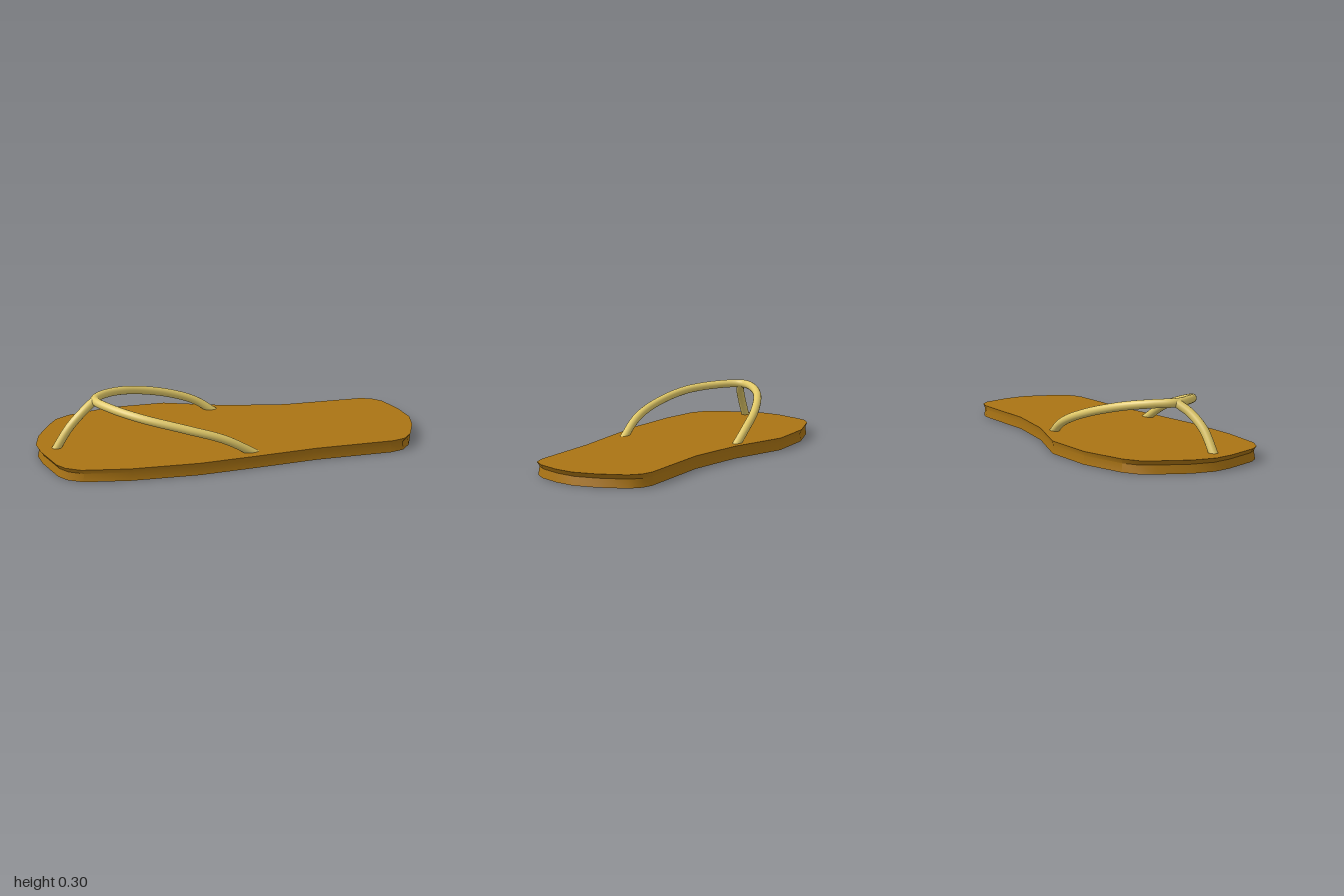
import * as THREE from 'three';
import { toCreasedNormals } from 'three/addons/utils/BufferGeometryUtils.js';

// Sole outline as [x, z], running from the toe along the back edge, round the heel and home
const OUTLINE = [
  [-1, 0.03], [-0.98, -0.09], [-0.915, -0.235], [-0.875, -0.305], [-0.8, -0.355],
  [-0.565, -0.425], [-0.27, -0.435], [0.06, -0.33], [0.385, -0.28], [0.82, -0.29],
  [0.88, -0.272], [0.93, -0.225], [0.98, -0.09], [1, 0.03], [0.98, 0.135],
  [0.93, 0.255], [0.88, 0.315], [0.81, 0.337], [0.395, 0.355], [0.06, 0.395],
  [-0.22, 0.425], [-0.565, 0.425], [-0.8, 0.395], [-0.875, 0.355], [-0.915, 0.305],
  [-0.98, 0.13],
];

// Sole layers as [height, outline scale]: the waist forms the groove round the edge
const LAYERS = [[0, 0.993], [0.042, 0.984], [0.065, 1]];

function soleGeometry() {
  const n = OUTLINE.length;
  const top = (LAYERS.length - 1) * n;
  const positions = [];
  const index = [];
  for (const [y, s] of LAYERS) {
    for (const [x, z] of OUTLINE) positions.push(x * s, y, z * s);
  }
  const bottomCentre = LAYERS.length * n;
  positions.push(0, 0, 0, 0, LAYERS[LAYERS.length - 1][0], 0);

  for (let i = 0; i < n; i++) {
    const j = (i + 1) % n;
    // edge walls
    for (let k = 0; k < top; k += n) {
      index.push(k + i, k + n + i, k + n + j, k + i, k + n + j, k + j);
    }
    // underside and footbed
    index.push(bottomCentre, i, j, bottomCentre + 1, top + j, top + i);
  }
  const geometry = new THREE.BufferGeometry();
  geometry.setAttribute('position', new THREE.Float32BufferAttribute(positions, 3));
  geometry.setIndex(index);
  return toCreasedNormals(geometry, 0.5);
}

function strap(name, points, segments, material) {
  const curve = new THREE.CatmullRomCurve3(points.map((p) => new THREE.Vector3(...p)));
  const mesh = new THREE.Mesh(new THREE.TubeGeometry(curve, segments, 0.022, 16), material);
  mesh.name = name;
  return mesh;
}

export function createModel() {
  const group = new THREE.Group();
  group.name = 'flipFlop';
  const soleMaterial = new THREE.MeshStandardMaterial({ color: 0xaa7414 });
  const strapMaterial = new THREE.MeshStandardMaterial({ color: 0xe0c868 });

  const sole = new THREE.Mesh(soleGeometry(), soleMaterial);
  sole.name = 'sole';
  group.add(sole);

  // Strap over the foot, its ends sunk into the sole
  group.add(strap('footStrap', [
    [0.0, 0.04, -0.295], [-0.12, 0.122, -0.298], [-0.29, 0.19, -0.268],
    [-0.505, 0.25, -0.18], [-0.64, 0.274, -0.075], [-0.69, 0.278, 0.01],
    [-0.62, 0.272, 0.13], [-0.475, 0.251, 0.25], [-0.26, 0.202, 0.318],
    [-0.075, 0.142, 0.335], [0.1, 0.04, 0.325],
  ], 80, strapMaterial));

  // Post between the toes
  group.add(strap('toePost', [
    [-0.695, 0.276, 0.015], [-0.755, 0.235, 0.05], [-0.83, 0.164, 0.076], [-0.912, 0.04, 0.086],
  ], 28, strapMaterial));

  return group;
}
